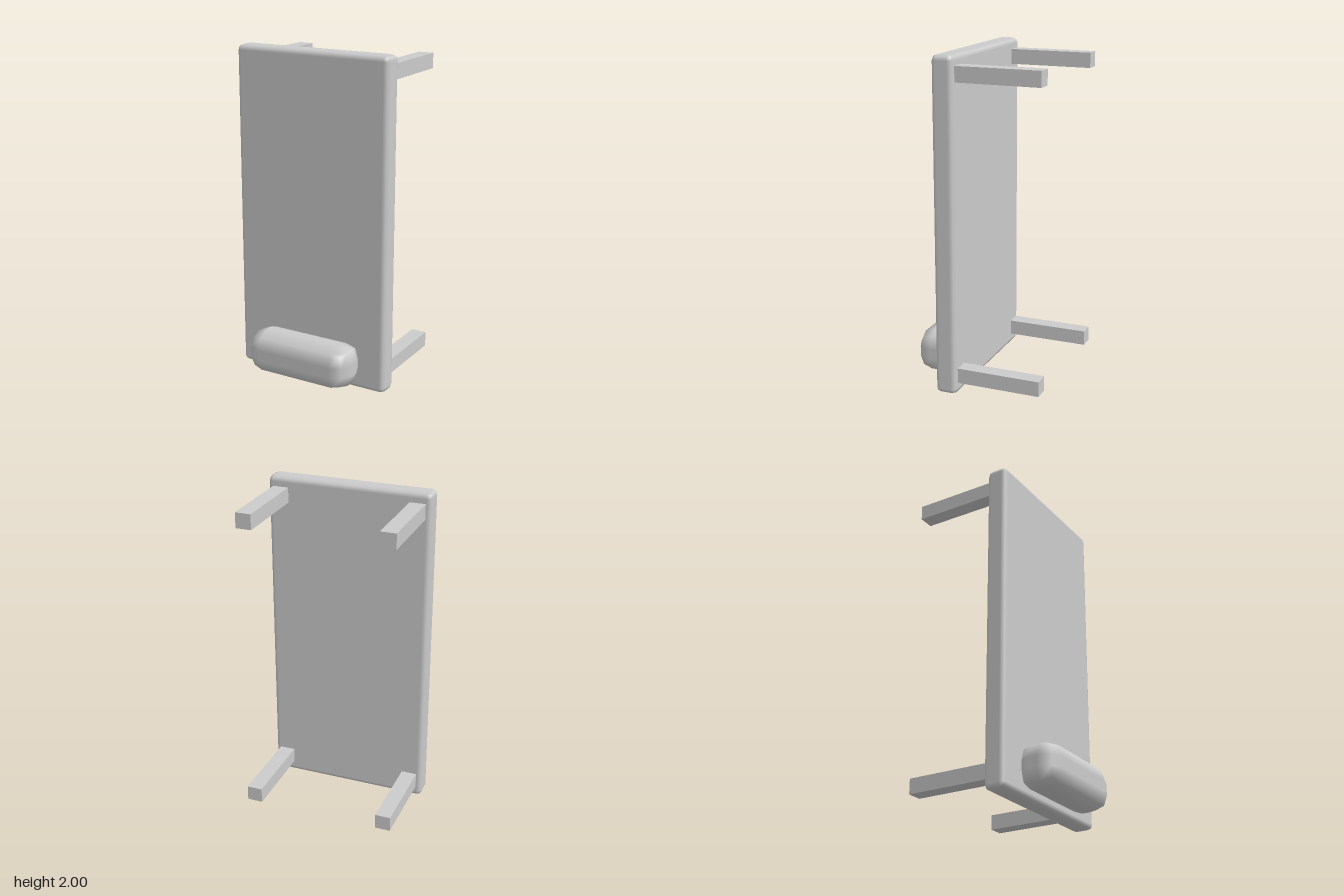
import * as THREE from 'three';
import { RoundedBoxGeometry } from 'three/addons/geometries/RoundedBoxGeometry.js';

export function createModel() {
  const model = new THREE.Group();
  model.name = 'bed';
  const material = new THREE.MeshStandardMaterial({ color: 0xcccccc });

  const add = (name, geometry, x, y, z) => {
    const mesh = new THREE.Mesh(geometry, material);
    mesh.name = name;
    mesh.position.set(x, y, z);
    model.add(mesh);
  };

  // Mattress slab, standing upright with softly bevelled edges
  add('mattress', new RoundedBoxGeometry(1, 2, 0.132, 1, 0.032), 0, 1, 0.147);

  // Plump pillow at the lower end of the sleeping face
  add('pillow', new RoundedBoxGeometry(0.695, 0.27, 0.26, 1, 0.104), 0.003, 0.167, 0.296);

  // Four square legs reaching backwards
  const legGeometry = new THREE.BoxGeometry(0.094, 0.091, 0.53);
  for (const [side, x] of [['left', 0.418], ['right', -0.418]]) {
    for (const [end, y] of [['Lower', 0.115], ['Upper', 1.895]]) {
      add(`${side}${end}Leg`, legGeometry, x, y, -0.161);
    }
  }

  return model;
}
